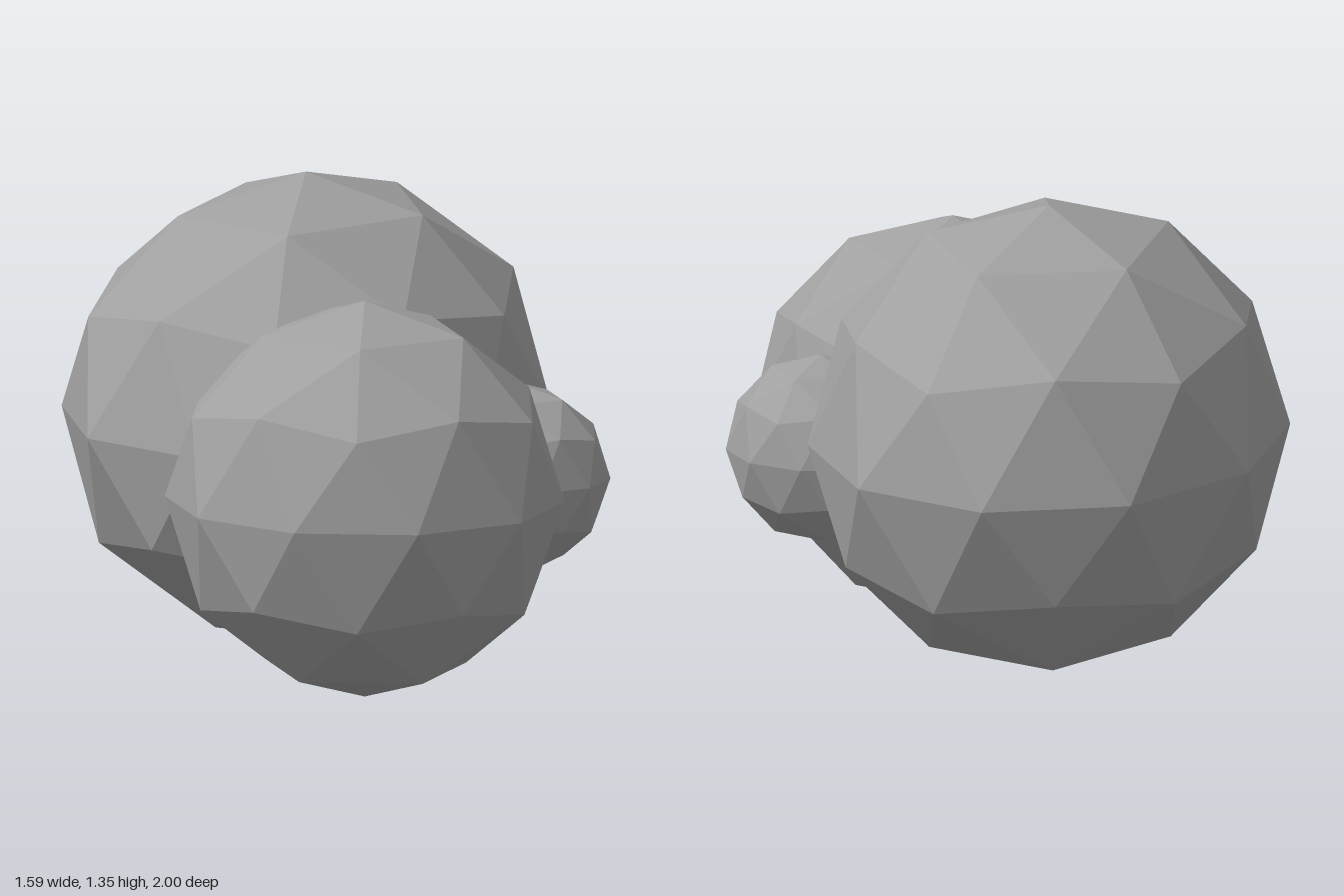
import * as THREE from 'three';

// Unit low-poly ball of 80 faces, turned so that a vertex sits at each pole
function ballGeometry() {
  const geometry = new THREE.IcosahedronGeometry(1, 1);
  geometry.rotateZ(-Math.atan(2 / (1 + Math.sqrt(5))));
  return geometry;
}

export function createModel() {
  const group = new THREE.Group();
  group.name = 'lobedCluster';
  const material = new THREE.MeshStandardMaterial({ color: 0xa0a0a0, flatShading: true });

  // name, centre, radii along x, y and z
  const lobes = [
    ['largeLobe', [-0.163, 0.689, -0.16], [0.667, 0.666, 0.84]],
    ['frontLobe', [0.257, 0.565, 0.46], [0.565, 0.565, 0.54]],
    ['smallSideLobe', [0.53, 0.563, 0], [0.268, 0.27, 0.255]],
  ];

  for (const [name, centre, radii] of lobes) {
    const geometry = ballGeometry().scale(...radii);
    geometry.computeVertexNormals();
    const mesh = new THREE.Mesh(geometry, material);
    mesh.name = name;
    mesh.position.set(...centre);
    group.add(mesh);
  }
  return group;
}
